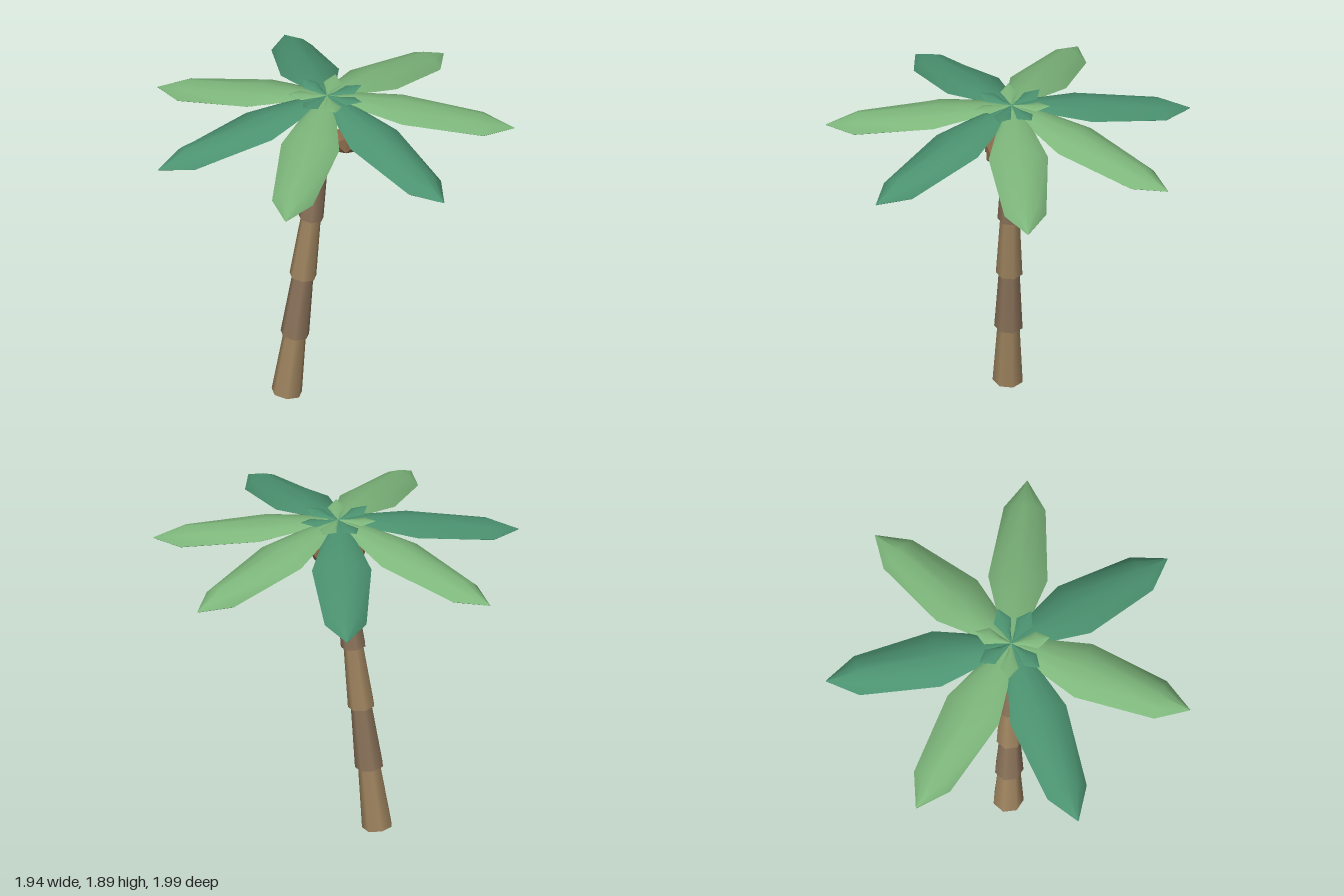
import * as THREE from 'three';

const mat = (color, extra = {}) => new THREE.MeshStandardMaterial({ color, ...extra });

// Cupped leaf along +x from stations [distance, half width, ridge height, edge height];
// each ring runs over the arched top, round a thin rim and back under a shallower hollow
const ring = [[1, 0], [0.55, 0.66], [0, 1], [-0.55, 0.66], [-1, 0], [-0.93, -0.1], [0, 0.45], [0.93, -0.1]];
function leafGeometry(stations) {
  const pos = [], idx = [], n = ring.length;
  for (const [x, w, ridge, edge] of stations) {
    for (const [t, h] of ring) pos.push(x, edge + (ridge - edge) * h, w * t);
  }
  for (let i = 0; i < stations.length - 1; i++) {
    for (let j = 0; j < n; j++) {
      const a = i * n + j, b = i * n + (j + 1) % n, c = a + n, d = b + n;
      idx.push(a, c, b, b, c, d);
    }
  }
  const g = new THREE.BufferGeometry();
  g.setAttribute('position', new THREE.Float32BufferAttribute(pos, 3));
  g.setIndex(idx);
  g.computeVertexNormals();
  return g;
}

export function createModel() {
  const tree = new THREE.Group();
  tree.name = 'palmTree';
  const add = (name, geometry, material, parent = tree) => {
    const mesh = new THREE.Mesh(geometry, material);
    mesh.name = name;
    parent.add(mesh);
    return mesh;
  };

  // Leaning trunk of stacked, tapering seven-sided segments
  const trunk = new THREE.Group();
  trunk.name = 'trunk';
  trunk.position.set(-0.268, 0.01, 0);
  trunk.rotation.z = -0.119;
  tree.add(trunk);
  const barks = [mat(0xa08560), mat(0x8c745b)];
  const step = 0.37;
  for (let i = 0; i < 5; i++) {
    const r = 0.085 - i * 0.005;
    const seg = add('trunkSegment', new THREE.CylinderGeometry(r * 0.74, r, step, 7), barks[i % 2], trunk);
    seg.position.y = step * (i + 0.5);
  }

  // Crown of seven drooping fronds
  const greens = [mat(0x7db67b), mat(0x4b9270)];
  const crown = new THREE.Group();
  crown.name = 'crown';
  crown.position.x = -0.05;
  tree.add(crown);
  const frond = leafGeometry([
    [0, 0.015, 1.88, 1.87],
    [0.15, 0.085, 1.875, 1.85],
    [0.41, 0.162, 1.85, 1.79],
    [0.85, 0.114, 1.762, 1.692],
    [1.02, 0.002, 1.675, 1.672],
  ]);
  const turn = Math.PI * 2 / 7;
  for (let i = 0; i < 7; i++) {
    add('frond', frond, greens[i % 2], crown).rotation.y = -i * turn;
  }

  // Young leaves on top, set between the fronds
  const sprout = leafGeometry([
    [0, 0.003, 1.882, 1.876],
    [0.07, 0.022, 1.886, 1.878],
    [0.14, 0.05, 1.892, 1.88],
    [0.21, 0.001, 1.893, 1.892],
  ]);
  for (let i = 0; i < 7; i++) {
    add('youngLeaf', sprout, greens[(i + 1) % 2], crown).rotation.y = -(i + 0.5) * turn;
  }

  // Row of three faceted coconuts, a little taller than wide
  const shell = mat(0x8c6b4b, { flatShading: true });
  const nut = new THREE.IcosahedronGeometry(0.089, 0).scale(0.83, 1, 0.83);
  for (const x of [-0.122, -0.034, 0.054]) {
    add('coconut', nut, shell).position.set(x, 1.648, 0.083);
  }
  return tree;
}
